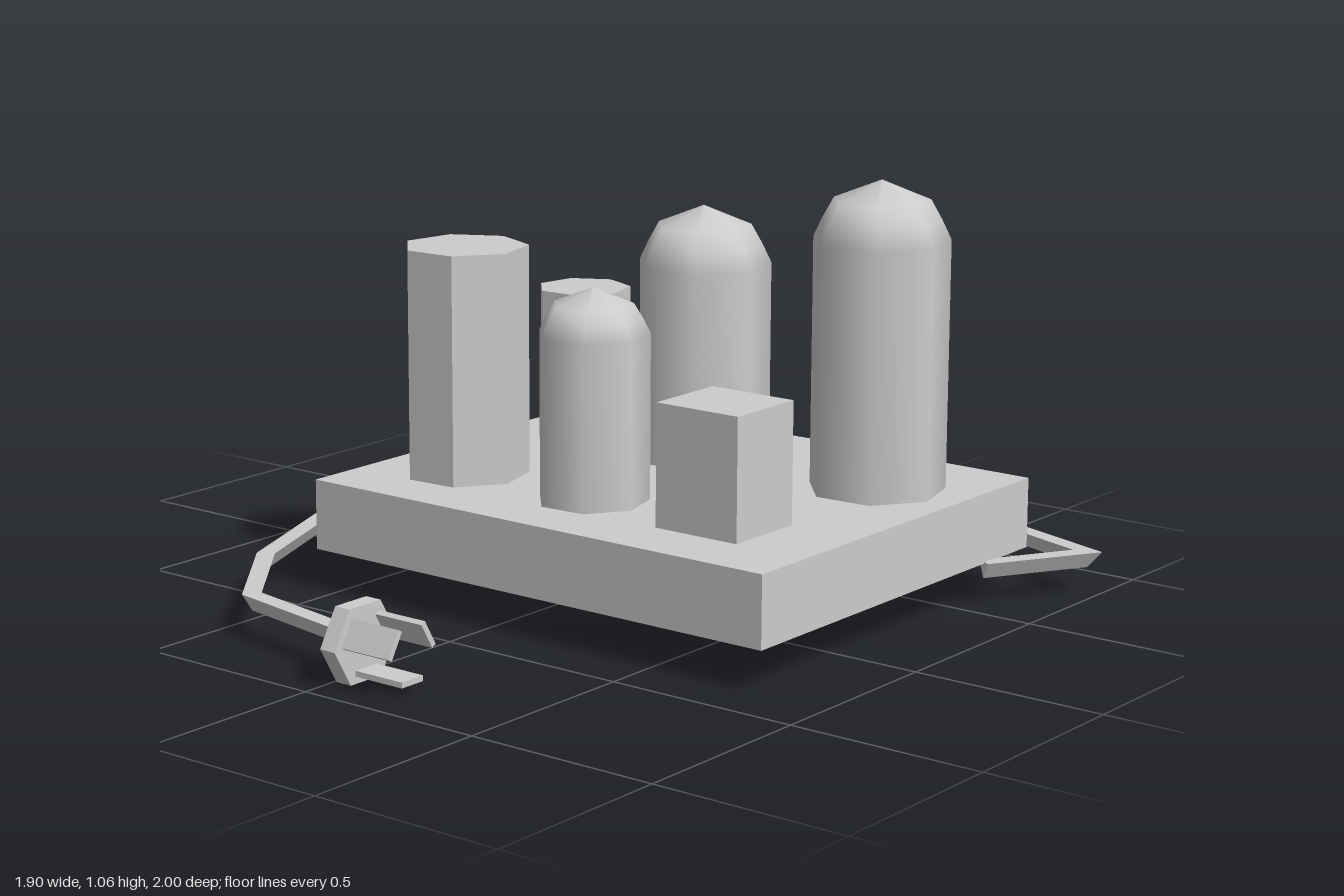
import * as THREE from 'three';

const smooth = new THREE.MeshStandardMaterial({ color: 0xcccccc });
const flat = new THREE.MeshStandardMaterial({ color: 0xcccccc, flatShading: true });
const SIDES = 7;
const START = THREE.MathUtils.degToRad(93); // turns a corner towards +x
const DECK = 0.285; // top of the base

function add(parent, name, geometry, material, x = 0, y = 0, z = 0) {
  const mesh = new THREE.Mesh(geometry, material);
  mesh.name = name;
  mesh.position.set(x, y, z);
  parent.add(mesh);
  return mesh;
}

// Box from its minimum and maximum corners
function addBox(parent, name, [x0, y0, z0], [x1, y1, z1]) {
  return add(parent, name, new THREE.BoxGeometry(x1 - x0, y1 - y0, z1 - z0), flat,
    (x0 + x1) / 2, (y0 + y1) / 2, (z0 + z1) / 2);
}

// Seven-sided tube with a rounded shoulder and a low pointed cap
function addBulb(parent, name, x, z, r, ringR, shoulder, ring, top) {
  const profile = [[0, DECK], [r, DECK], [r, DECK + 0.001], [r, shoulder],
    [(r + ringR) / 2 + 0.002, (shoulder + ring) / 2], [ringR, ring], [0, top]]
    .slice(2).map(([px, py]) => new THREE.Vector2(px, py));
  profile[0].y = DECK;
  add(parent, name, new THREE.LatheGeometry(profile, SIDES, START), smooth, x, 0, z);
}

// Plain seven-sided column
function addColumn(parent, name, x, z, r, top) {
  const h = top - DECK;
  add(parent, name, new THREE.CylinderGeometry(r, r, h, SIDES, 1, false, START), flat, x, DECK + h / 2, z);
}

// Mitred cable with a triangular section, flat on top
function cableGeometry(path, half, top, bottom) {
  const pts = path.map(([x, z]) => new THREE.Vector2(x, z));
  const normal = (a, b) => {
    const d = b.clone().sub(a).normalize();
    return new THREE.Vector2(-d.y, d.x);
  };
  const positions = [], index = [];
  const last = pts.length - 1;
  pts.forEach((p, i) => {
    const n0 = normal(pts[Math.max(i - 1, 0)], pts[Math.max(i, 1)]);
    const n1 = normal(pts[Math.min(i, last - 1)], pts[Math.min(i + 1, last)]);
    const n = n0.clone().add(n1).normalize();
    n.multiplyScalar(half / n.dot(n0));
    positions.push(p.x + n.x, top, p.y + n.y, p.x, bottom, p.y, p.x - n.x, top, p.y - n.y);
    if (i === last) return;
    for (let k = 0; k < 3; k++) {
      const a = i * 3 + k, b = i * 3 + (k + 1) % 3;
      index.push(a, b, b + 3, a, b + 3, a + 3);
    }
  });
  index.push(2, 1, 0, last * 3, last * 3 + 1, last * 3 + 2);
  const g = new THREE.BufferGeometry();
  g.setAttribute('position', new THREE.Float32BufferAttribute(positions, 3));
  g.setIndex(index);
  const out = g.toNonIndexed();
  out.computeVertexNormals();
  return out;
}

export function createModel() {
  const model = new THREE.Group();
  model.name = 'tubeDevice';

  // Base and the parts standing on it
  addBox(model, 'base', [-0.365, 0.105, -0.56], [0.773, DECK, 0.82]);
  addBox(model, 'block', [-0.195, DECK, 0.385], [0.027, 0.59, 0.623]);
  addBulb(model, 'tallBulb', 0.443, 0.582, 0.174, 0.122, 0.91, 1.01, 1.06);
  addBulb(model, 'middleBulb', 0.443, 0.042, 0.174, 0.122, 0.79, 0.89, 0.94);
  addBulb(model, 'smallBulb', -0.085, 0.105, 0.141, 0.1, 0.7, 0.775, 0.815);
  addColumn(model, 'largeColumn', -0.07, -0.315, 0.159, 0.868);
  addColumn(model, 'smallColumn', 0.407, -0.32, 0.122, 0.69);

  // Cable running round the base
  const path = [[-0.845, 0.015], [-0.767, -0.395], [-0.485, -0.622], [0.39, -0.974],
    [0.925, -0.65], [0.922, 0.672], [0.825, 0.966], [0.575, 0.818]];
  add(model, 'cable', cableGeometry(path, 0.023, 0.109, 0.067), flat);

  // Plug: hexagonal flange with three flat prongs
  const plug = new THREE.Group();
  plug.name = 'plug';
  plug.position.set(-0.85, 0.092, 0);
  model.add(plug);
  const flange = new THREE.CylinderGeometry(0.105, 0.105, 0.045, 6, 1, false, Math.PI / 2);
  add(plug, 'flange', flange.rotateX(Math.PI / 2), flat, 0, 0, 0.028);
  for (let i = 0; i < 3; i++) {
    const prong = new THREE.BoxGeometry(0.072, 0.014, 0.15).translate(0, -0.066, 0.118);
    add(plug, 'prong', prong.rotateZ(i * Math.PI * 2 / 3), flat);
  }
  return model;
}
